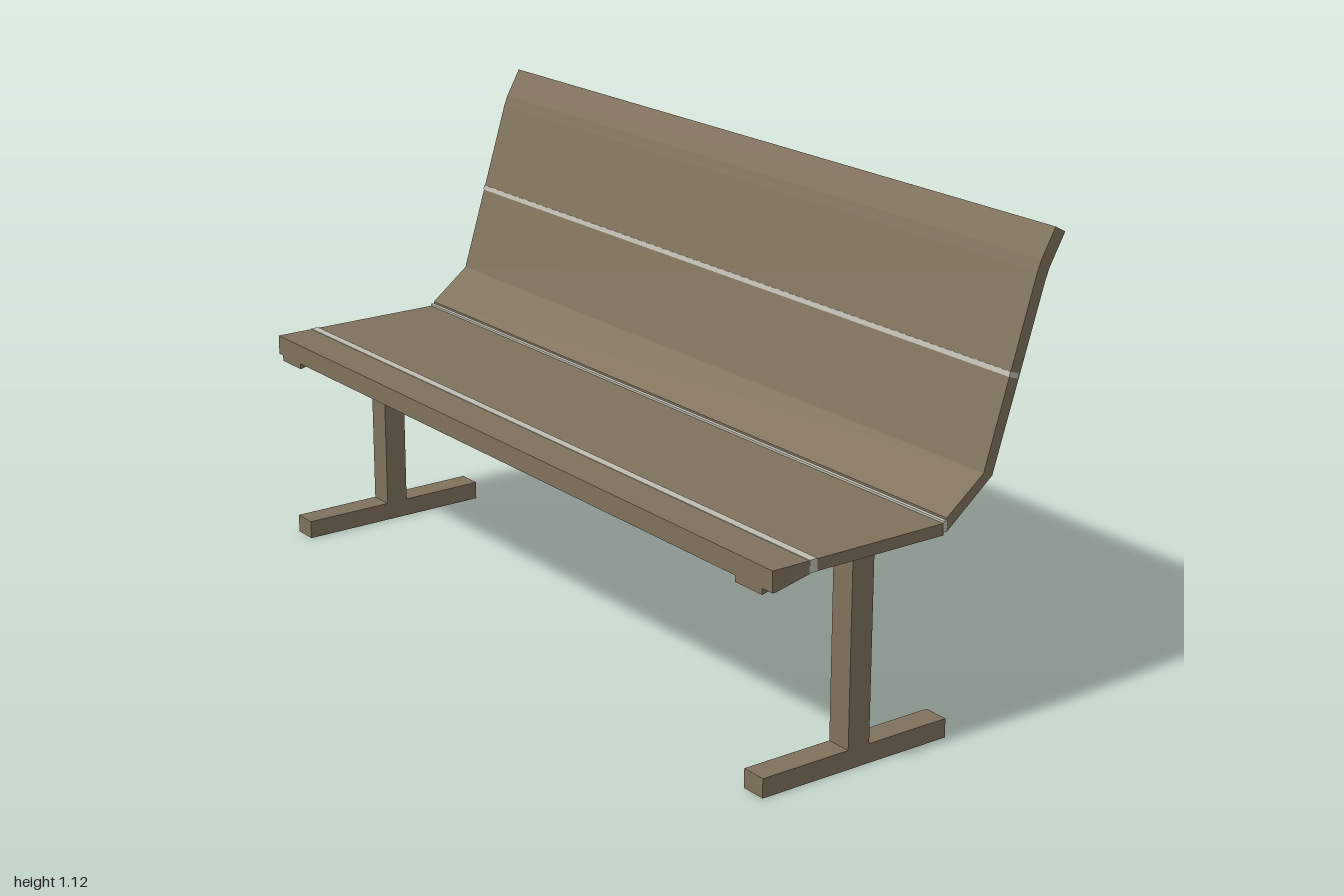
import * as THREE from 'three';

const brown = new THREE.MeshStandardMaterial({ color: 0x80725c });
brown.name = 'brown paint';
const pale = new THREE.MeshStandardMaterial({ color: 0xc2bdb2 });
pale.name = 'pale joint';

export function createModel() {
  const bench = new THREE.Group();
  bench.name = 'bench';

  // Extrudes a [z, y] outline along x.
  function profile(name, points, width, x = 0, material = brown) {
    const shape = new THREE.Shape(points.map(([z, y]) => new THREE.Vector2(z, y)));
    const geo = new THREE.ExtrudeGeometry(shape, { depth: width, bevelEnabled: false });
    geo.translate(0, 0, -width / 2).rotateY(-Math.PI / 2);
    const mesh = new THREE.Mesh(geo, material);
    mesh.name = name;
    mesh.position.x = x;
    bench.add(mesh);
  }

  // Box given by its x centre and width, and its y and z limits.
  function box(name, x, width, y0, y1, z0, z1, material = brown) {
    const mesh = new THREE.Mesh(new THREE.BoxGeometry(width, y1 - y0, z1 - z0), material);
    mesh.name = name;
    mesh.position.set(x, (y0 + y1) / 2, (z0 + z1) / 2);
    bench.add(mesh);
  }

  // Backrest: bent panel
  const backFace = [[-0.075, 0.535], [-0.175, 0.613], [-0.305, 1.03], [-0.315, 1.055], [-0.352, 1.12]];
  const backRear = [[-0.38, 1.105], [-0.34, 1.035], [-0.33, 1.01], [-0.2, 0.603], [-0.075, 0.503]];
  profile('backrest', [...backFace, ...backRear], 2);

  // Seat: thin top with a front lip, downward flanges and end caps
  box('seatTop', 0, 2, 0.515, 0.525, -0.068, 0.39);
  box('frontLip', 0, 2, 0.477, 0.515, 0.38, 0.39);
  for (const z of [0.285, 0.2, 0.11, 0.02, -0.063]) {
    box('seatFlange', 0, 1.98, 0.495, 0.515, z - 0.005, z + 0.005);
  }
  for (const x of [-0.995, 0.995]) {
    profile('seatEndCap', [[0.38, 0.477], [0.38, 0.515], [-0.068, 0.515], [-0.068, 0.498], [0.285, 0.498]], 0.01, x);
  }

  // Pale joints between the panels
  box('seatJoint', 0, 2.002, 0.498, 0.5265, 0.275, 0.295, pale);
  box('rearJoint', 0, 2.002, 0.505, 0.53, -0.075, -0.066, pale);
  profile('backJoint', [[-0.236, 0.814], [-0.239, 0.825], [-0.263, 0.817], [-0.26, 0.806]], 2.002, 0, pale);

  // Support frames under the seat and behind the back, with T-shaped legs
  const frame = [
    [0.39, 0.477], [0.285, 0.5], [-0.07, 0.5], [-0.2, 0.603], [-0.335, 1.03], [-0.378, 1.107],
    [-0.392, 1.1], [-0.343, 1.018], [-0.212, 0.597], [-0.068, 0.485], [0.283, 0.485], [0.39, 0.463],
  ];
  for (const x of [-0.937, 0.923]) {
    profile('supportFrame', frame, 0.088, x);
    box('post', x, 0.062, 0.035, 0.487, 0.082, 0.14);
    // Foot: channel open at the bottom
    box('footTop', x, 0.062, 0.037, 0.045, -0.135, 0.37);
    for (const s of [-1, 1]) box('footSide', x + s * 0.028, 0.006, 0, 0.037, -0.135, 0.37);
    box('footRearEnd', x, 0.05, 0, 0.037, -0.135, -0.129);
    box('footFrontEnd', x, 0.05, 0, 0.037, 0.364, 0.37);
  }

  return bench;
}
